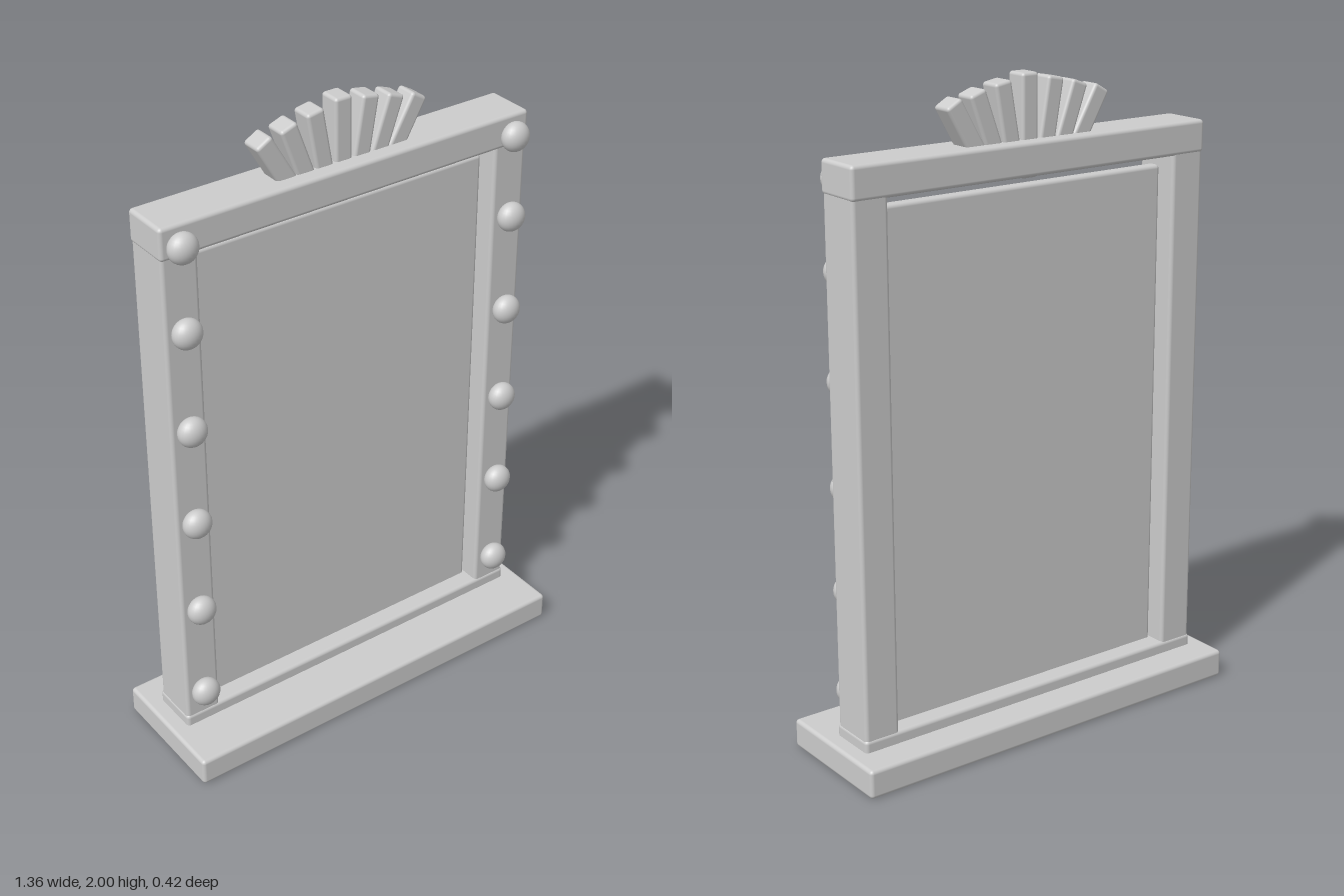
import * as THREE from 'three';
import { RoundedBoxGeometry } from 'three/addons/geometries/RoundedBoxGeometry.js';

export function createModel() {
  const model = new THREE.Group();
  model.name = 'standingMirror';
  const grey = new THREE.MeshStandardMaterial({ color: 0xcccccc });
  grey.name = 'light grey';

  const addBox = (name, size, position, radius = 0.012) => {
    const mesh = new THREE.Mesh(new RoundedBoxGeometry(...size, 3, radius), grey);
    mesh.name = name;
    mesh.position.set(...position);
    model.add(mesh);
    return mesh;
  };

  // Plinth and frame
  const frameZ = -0.031;
  addBox('base', [1.355, 0.09, 0.42], [0, 0.045, 0]);
  addBox('bottomRail', [1.255, 0.075, 0.157], [0, 0.09, frameZ]);
  addBox('topRail', [1.255, 0.1, 0.157], [0, 1.762, frameZ]);
  for (const [side, label] of [[-1, 'right'], [1, 'left']]) {
    addBox(label + 'Post', [0.116, 1.64, 0.15], [side * 0.567, 0.91, frameZ]);
  }

  // Mirror panel, recessed on both faces
  addBox('mirrorPanel', [1.01, 1.575, 0.04], [0, 0.8925, frameZ]);

  // Flattened bulbs along both posts
  const bulbGeometry = new THREE.SphereGeometry(0.046, 24, 16);
  for (const side of [-1, 1]) {
    for (const y of [0.215, 0.533, 0.851, 1.169, 1.487, 1.748]) {
      const bulb = new THREE.Mesh(bulbGeometry, grey);
      bulb.name = 'bulb';
      bulb.scale.z = 0.78;
      bulb.position.set(side * 0.567, y, 0.064);
      model.add(bulb);
    }
  }

  // Crest: a fan of bars, shorter and more tilted towards the ends
  for (let i = -3; i <= 3; i++) {
    const length = 0.3 - 0.033 * Math.abs(i);
    const bar = addBox('crestBar', [0.057, length, 0.07], [i * 0.071, 1.85, -0.034], 0.01);
    bar.rotation.z = -i * Math.PI / 18;
  }

  return model;
}
